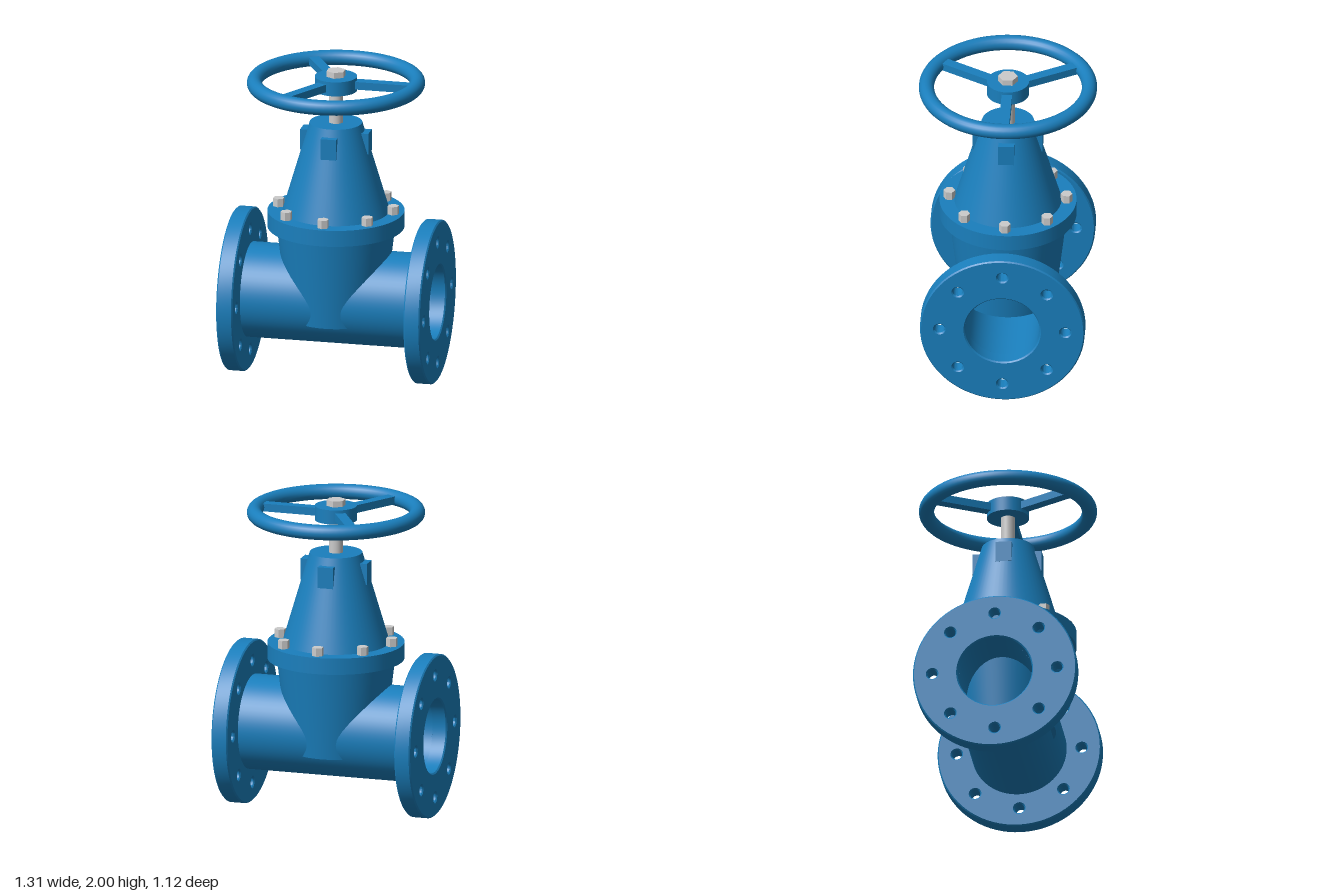
import * as THREE from 'three';
import { toCreasedNormals } from 'three/addons/utils/BufferGeometryUtils.js';

export function createModel() {
  const model = new THREE.Group();
  model.name = 'gateValve';
  const blue = new THREE.MeshStandardMaterial({ color: 0x1a7fbd });
  const grey = new THREE.MeshStandardMaterial({ color: 0xcccccc });
  const AXIS = 0.518; // height of the pipe axis

  const add = (name, geometry, material, x = 0, y = 0, z = 0, parent = model) => {
    const mesh = new THREE.Mesh(geometry, material);
    mesh.name = name;
    mesh.position.set(x, y, z);
    parent.add(mesh);
    return mesh;
  };
  // Round part standing between two heights
  const round = (name, y0, y1, rBottom, rTop, material = blue, sides = 64, parent = model) =>
    add(name, new THREE.CylinderGeometry(rTop, rBottom, y1 - y0, sides), material, 0, (y0 + y1) / 2, 0, parent);

  // Pipe with open bore
  const profile = [[0.3, -0.56], [0.3, 0.56], [0.235, 0.56], [0.235, -0.56], [0.3, -0.56]]
    .map(([r, h]) => new THREE.Vector2(r, h));
  const pipe = toCreasedNormals(new THREE.LatheGeometry(profile, 64), 0.5);
  add('pipe', pipe.rotateZ(Math.PI / 2), blue, 0, AXIS, 0);

  // End flanges with bore and eight bolt holes
  const disc = new THREE.Shape().absarc(0, 0, 0.517, 0, Math.PI * 2);
  const hole = (x, y, r) => disc.holes.push(new THREE.Path().absarc(x, y, r, 0, Math.PI * 2, true));
  hole(0, 0, 0.235);
  for (let i = 0; i < 8; i++) {
    const a = i * Math.PI / 4;
    hole(0.395 * Math.cos(a), 0.395 * Math.sin(a), 0.032);
  }
  const bevel = 0.008, thickness = 0.105;
  const flangeGeometry = toCreasedNormals(new THREE.ExtrudeGeometry(disc, {
    depth: thickness - 2 * bevel, bevelThickness: bevel, bevelSize: bevel,
    bevelOffset: -bevel, bevelSegments: 1, curveSegments: 40,
  }).translate(0, 0, bevel - thickness / 2), 0.5).rotateY(Math.PI / 2);
  for (const side of [-1, 1]) {
    add(side > 0 ? 'leftPipeFlange' : 'rightPipeFlange', flangeGeometry, blue, side * 0.602, AXIS, 0);
  }

  // Tapered neck, bonnet flange and bonnet
  round('neck', 0.39, 0.98, 0.302, 0.372);
  round('bonnetFlange', 0.975, 1.08, 0.43, 0.43);
  round('bonnet', 1.08, 1.66, 0.336, 0.165);

  // Four lugs around the top of the bonnet
  for (let i = 0; i < 4; i++) {
    const a = i * Math.PI / 2;
    const lug = add('bonnetLug', new THREE.BoxGeometry(0.08, 0.135, 0.1), blue,
      0.179 * Math.cos(a), 1.543, -0.179 * Math.sin(a));
    lug.rotation.y = a;
  }

  // Hexagonal bonnet bolts
  const boltGeometry = toCreasedNormals(new THREE.CylinderGeometry(0.037, 0.037, 0.06, 6), 0.5);
  for (let i = 0; i < 8; i++) {
    const a = i * Math.PI / 4;
    add('bonnetBolt', boltGeometry, grey, 0.368 * Math.cos(a), 1.103, 0.368 * Math.sin(a));
  }

  // Stem and top nut
  round('stem', 1.64, 1.96, 0.045, 0.045, grey, 32);
  const nut = round('stemNut', 1.95, 2, 0.062, 0.062, grey, 6);
  nut.geometry = toCreasedNormals(nut.geometry, 0.5);

  // Handwheel: rim, hub and three spokes
  const wheel = new THREE.Group();
  wheel.name = 'handwheel';
  wheel.position.y = 1.917;
  model.add(wheel);
  add('rim', new THREE.TorusGeometry(0.511, 0.048, 20, 80).rotateX(Math.PI / 2), blue, 0, 0, 0, wheel);
  round('hub', -0.047, 0.045, 0.133, 0.133, blue, 48, wheel);
  for (let i = 0; i < 3; i++) {
    const a = i * Math.PI * 2 / 3;
    const spoke = add('spoke', new THREE.BoxGeometry(0.37, 0.05, 0.066), blue,
      0.287 * Math.cos(a), 0, -0.287 * Math.sin(a), wheel);
    spoke.rotation.y = a;
  }

  return model;
}
